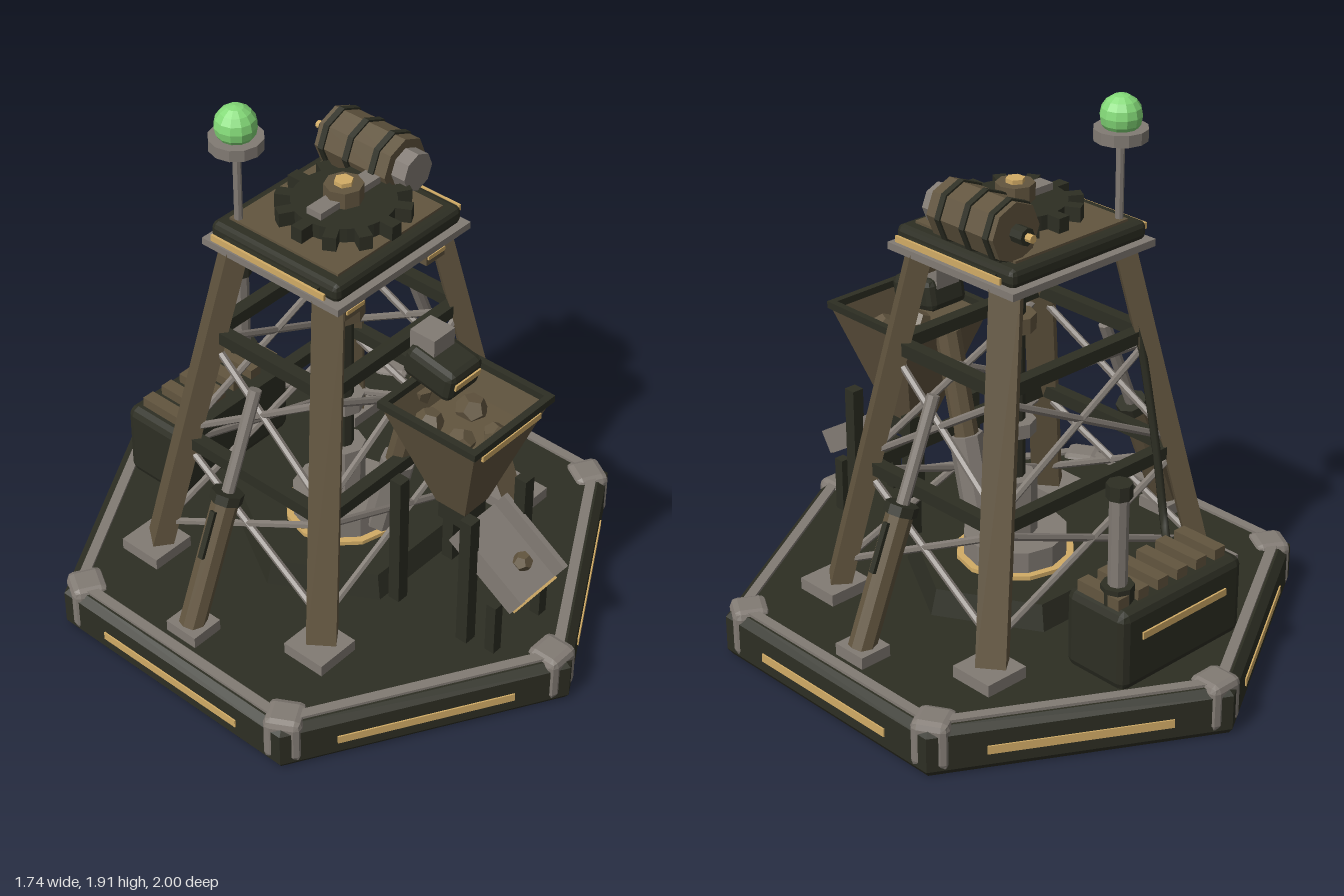
import * as THREE from 'three';
import { RoundedBoxGeometry } from 'three/addons/geometries/RoundedBoxGeometry.js';

const material = (name, color) => {
  const m = new THREE.MeshStandardMaterial({ color });
  m.name = name;
  return m;
};

export function createModel() {
  const model = new THREE.Group();
  model.name = 'drillingRig';
  const dark = material('darkIron', 0x2d2e23);
  const brown = material('brownSteel', 0x62553f);
  const grey = material('greySteel', 0x827b74);
  const gold = material('goldTrim', 0xd2ac66);
  const green = material('greenLamp', 0x84da78);
  const TZ = -0.03; // tower centre in z
  const V = (x, y, z) => new THREE.Vector3(x, y, z);

  // Helpers
  const faceted = (geo) => {
    const g = geo.index ? geo.toNonIndexed() : geo;
    g.computeVertexNormals();
    return g;
  };
  const add = (name, geo, mat, x = 0, y = 0, z = 0, parent = model) => {
    const mesh = new THREE.Mesh(geo, mat);
    mesh.name = name;
    mesh.position.set(x, y, z);
    parent.add(mesh);
    return mesh;
  };
  const box = (name, mat, w, h, d, x, y, z, parent) =>
    add(name, new THREE.BoxGeometry(w, h, d), mat, x, y, z, parent);
  const bevelBox = (name, mat, w, h, d, r, x, y, z, parent) =>
    add(name, faceted(new RoundedBoxGeometry(w, h, d, 1, r)), mat, x, y, z, parent);
  const drum = (name, mat, r, y0, y1, x, z, sides = 8, rTop = r) =>
    add(name, faceted(new THREE.CylinderGeometry(rTop, r, y1 - y0, sides)), mat, x, (y0 + y1) / 2, z);
  const beam = (name, mat, a, b, w, h) => {
    const mid = a.clone().add(b).multiplyScalar(0.5);
    const mesh = box(name, mat, w, h, a.distanceTo(b), mid.x, mid.y, mid.z);
    mesh.lookAt(b);
    return mesh;
  };
  const rod = (name, mat, a, b, r, sides = 8) => {
    const mid = a.clone().add(b).multiplyScalar(0.5);
    const mesh = add(name, faceted(new THREE.CylinderGeometry(r, r, a.distanceTo(b), sides)), mat, mid.x, mid.y, mid.z);
    mesh.quaternion.setFromUnitVectors(V(0, 1, 0), b.clone().sub(a).normalize());
    return mesh;
  };
  const lathe = (name, mat, pts, sides, phi = 0) =>
    add(name, faceted(new THREE.LatheGeometry(pts.map((p) => new THREE.Vector2(...p)), sides, phi)), mat);

  // Hexagonal base with rim, light strips and corner caps
  lathe('base', dark, [[0, 0], [0.985, 0], [1, 0.02], [1, 0.145], [0.97, 0.17], [0, 0.17]], 6);
  for (let i = 0; i < 6; i++) {
    const side = new THREE.Group();
    side.name = 'baseSide';
    side.rotation.y = (i + 0.5) * Math.PI / 3;
    box('rim', grey, 0.9, 0.014, 0.035, 0, 0.173, 0.815, side);
    box('sideStrip', gold, 0.61, 0.03, 0.008, 0, 0.075, 0.867, side);
    const corner = new THREE.Group();
    corner.name = 'baseCorner';
    corner.rotation.y = i * Math.PI / 3;
    bevelBox('cornerCap', grey, 0.13, 0.17, 0.125, 0.025, 0, 0.1, 0.918, corner);
    model.add(side, corner);
  }

  // Tower legs, pads and lamps under the deck
  const legAt = (sx, sz, y) => {
    const t = (y - 0.17) / 1.23;
    return V(sx * (0.5 - 0.24 * t), y, TZ + sz * (0.38 - 0.18 * t));
  };
  const corners = [[1, 1], [1, -1], [-1, -1], [-1, 1]];
  for (const [sx, sz] of corners) {
    beam('towerLeg', brown, legAt(sx, sz, 0.18), legAt(sx, sz, 1.4), 0.1, 0.07);
    box('legPad', grey, 0.165, 0.045, 0.165, sx * 0.51, 0.19, TZ + sz * 0.38);
  }

  // Belts and crossed braces on all four sides
  corners.forEach(([ax, az], i) => {
    const [bx, bz] = corners[(i + 1) % 4];
    for (const y of [0.645, 1.075]) beam('belt', dark, legAt(ax, az, y), legAt(bx, bz, y), 0.045, 0.045);
    for (const [lo, hi] of [[0.28, 0.62], [0.68, 1.04]]) {
      rod('brace', grey, legAt(ax, az, lo), legAt(bx, bz, hi), 0.013, 6);
      rod('brace', grey, legAt(ax, az, hi), legAt(bx, bz, lo), 0.013, 6);
    }
  });

  // Top deck
  box('deckPlate', grey, 0.635, 0.025, 0.58, 0, 1.407, TZ);
  bevelBox('deck', dark, 0.6, 0.065, 0.54, 0.02, 0, 1.45, TZ);
  box('deckCover', brown, 0.5, 0.012, 0.46, 0, 1.485, TZ);
  for (const s of [-1, 1]) {
    box('deckStrip', gold, 0.009, 0.022, 0.48, s * 0.324, 1.448, TZ);
    box('deckStripMount', dark, 0.03, 0.014, 0.4, s * 0.308, 1.448, TZ);
    box('deckLamp', brown, 0.09, 0.05, 0.06, s * 0.195, 1.34, 0.19);
    box('deckLampGlow', gold, 0.08, 0.015, 0.008, s * 0.195, 1.345, 0.222);
    beam('deckBracket', dark, V(s * 0.16, 1.36, 0.15), V(s * 0.1, 1.4, 0.12), 0.04, 0.04);
  }

  // Gear with hub
  const gear = new THREE.Shape();
  for (let i = 0; i < 12; i++) {
    [[-0.5, 0.17], [-0.24, 0.17], [-0.19, 0.222], [0.19, 0.222], [0.24, 0.17]].forEach(([f, r], k) => {
      const a = (i + f) * Math.PI / 6;
      gear[i + k ? 'lineTo' : 'moveTo'](r * Math.cos(a), r * Math.sin(a));
    });
  }
  add('gear', new THREE.ExtrudeGeometry(gear, { depth: 0.05, bevelEnabled: false }), dark, 0, 1.505, 0).rotation.x = -Math.PI / 2;
  box('gearBar', grey, 0.28, 0.025, 0.06, 0, 1.567, 0);
  drum('gearHub', brown, 0.065, 1.55, 1.612, 0, 0, 8);
  drum('hubBolt', gold, 0.032, 1.6, 1.627, 0, 0, 6);

  // Motor lying along z
  const motor = (name, mat, r, z0, z1) => rod(name, mat, V(0.237, 1.58, z0), V(0.237, 1.58, z1), r);
  motor('motorBody', brown, 0.1, -0.25, 0.05);
  for (const z of [-0.22, -0.115, -0.005]) motor('motorBand', dark, 0.107, z - 0.011, z + 0.011);
  motor('motorNose', grey, 0.068, 0.05, 0.105);
  motor('motorTail', dark, 0.03, -0.3, -0.25);
  motor('motorTip', gold, 0.014, -0.325, -0.3);
  box('motorMount', dark, 0.12, 0.03, 0.24, 0.22, 1.49, -0.1);

  // Beacon
  drum('beaconPole', grey, 0.014, 1.45, 1.77, -0.235, -0.235);
  drum('beaconDish', grey, 0.09, 1.76, 1.8, -0.235, -0.235, 12);
  add('beaconLamp', faceted(new THREE.SphereGeometry(0.07, 12, 8)), green, -0.235, 1.84, -0.235);

  // Central drill
  drum('drillPlinth', dark, 0.39, 0.17, 0.26, 0, 0, 6, 0.365).rotation.y = Math.PI / 6;
  drum('drillTrim', gold, 0.205, 0.26, 0.275, 0, 0, 12);
  drum('drillRing', grey, 0.18, 0.27, 0.35, 0, 0, 12);
  drum('drillBase', grey, 0.075, 0.35, 0.56, 0, 0);
  drum('drillShaft', dark, 0.034, 0.5, 1.4, 0, 0);
  drum('lowerCollar', grey, 0.07, 0.72, 0.77, 0, 0);
  drum('upperCollar', brown, 0.07, 1.1, 1.155, 0, 0);
  rod('feedPipeUpper', brown, V(0, 0.98, 0.33), V(0, 0.6, 0.24), 0.045);
  rod('feedPipeLower', grey, V(0, 0.62, 0.245), V(0, 0.31, 0.17), 0.06);

  // Side rams
  for (const s of [-1, 1]) {
    const p = (t) => V(s * (0.72 - 0.33 * t), 0.2 + 0.8 * t, TZ);
    box('ramPad', grey, 0.12, 0.045, 0.13, s * 0.715, 0.19, TZ);
    rod('ramBarrel', brown, p(0), p(0.55), 0.046);
    rod('ramCollar', dark, p(0.535), p(0.575), 0.056);
    rod('ramRod', grey, p(0.55), p(1), 0.022);
    const shift = V(s * 0.042, 0.017, 0);
    beam('ramFin', dark, p(0.3).add(shift), p(0.5).add(shift), 0.02, 0.02);
  }

  // Hopper with ore
  const q = Math.SQRT2;
  lathe('hopper', brown, [[0, 0.6], [0.06 * q, 0.6], [0.192 * q, 1.005], [0.18 * q, 1.005], [0.155 * q, 0.9], [0, 0.9]], 4, Math.PI / 4).position.z = 0.52;
  for (const s of [-1, 1]) {
    box('hopperRim', dark, 0.4, 0.025, 0.025, 0, 1.012, 0.52 + s * 0.188);
    box('hopperRim', dark, 0.025, 0.025, 0.4, s * 0.188, 1.012, 0.52);
  }
  box('hopperStrip', gold, 0.29, 0.022, 0.009, 0, 0.97, 0.707);
  box('hopperNozzle', dark, 0.11, 0.075, 0.11, 0, 0.57, 0.52);
  for (const [x, z, r] of [[-0.07, 0.56, 0.05], [0.03, 0.62, 0.045], [0.08, 0.48, 0.055], [-0.06, 0.42, 0.05]]) {
    add('ore', new THREE.DodecahedronGeometry(r), brown, x, 0.91, z).rotation.set(x * 9, z * 7, 0.4);
  }

  // Feeder above the hopper
  const feeder = new THREE.Group();
  feeder.name = 'feeder';
  feeder.position.set(0, 1.11, 0.42);
  feeder.rotation.x = -0.18 + 0.36;
  bevelBox('feederBody', dark, 0.165, 0.115, 0.2, 0.025, 0, 0, 0, feeder);
  box('feederStrip', gold, 0.12, 0.025, 0.008, 0, 0.01, 0.102, feeder);
  model.add(feeder);
  box('feederBlock', grey, 0.1, 0.085, 0.1, 0, 1.188, 0.375);

  // Chute and its posts
  const chute = new THREE.Group();
  chute.name = 'chute';
  chute.position.set(0, 0.485, 0.72);
  chute.rotation.x = 0.56;
  box('chuteFloor', grey, 0.22, 0.02, 0.31, 0, -0.035, 0, chute);
  for (const s of [-1, 1]) box('chuteWall', grey, 0.02, 0.085, 0.31, s * 0.112, 0, 0, chute);
  box('chuteLip', gold, 0.21, 0.022, 0.009, 0, -0.033, 0.158, chute);
  add('ore', new THREE.DodecahedronGeometry(0.035), brown, 0.03, -0.01, 0.05, chute);
  model.add(chute);
  for (const s of [-1, 1]) {
    for (const z of [0.37, 0.665]) box('hopperPost', dark, 0.045, 0.52, 0.045, s * 0.14, 0.43, z);
    box('chutePost', dark, 0.038, 0.2, 0.038, s * 0.12, 0.27, 0.765);
  }

  // Generator at the back, with ribs, exhaust and cable
  bevelBox('generator', dark, 0.56, 0.285, 0.26, 0.03, 0, 0.312, -0.648);
  for (let i = 0; i < 6; i++) box('generatorRib', brown, 0.048, 0.04, 0.18, -0.212 + i * 0.09, 0.472, -0.645);
  box('generatorStrip', gold, 0.39, 0.025, 0.009, 0, 0.355, -0.78);
  drum('exhaustBase', dark, 0.055, 0.45, 0.51, 0.21, -0.68);
  drum('exhaustPipe', grey, 0.032, 0.5, 0.83, 0.21, -0.68);
  drum('exhaustCap', dark, 0.043, 0.82, 0.87, 0.21, -0.68);
  const cablePath = new THREE.CatmullRomCurve3([V(-0.2, 0.36, -0.53), V(-0.28, 0.42, -0.43), V(-0.3, 0.7, -0.36), V(-0.28, 1.1, -0.29), V(-0.23, 1.4, -0.25)]);
  add('cable', new THREE.TubeGeometry(cablePath, 24, 0.015, 6), dark);

  return model;
}
